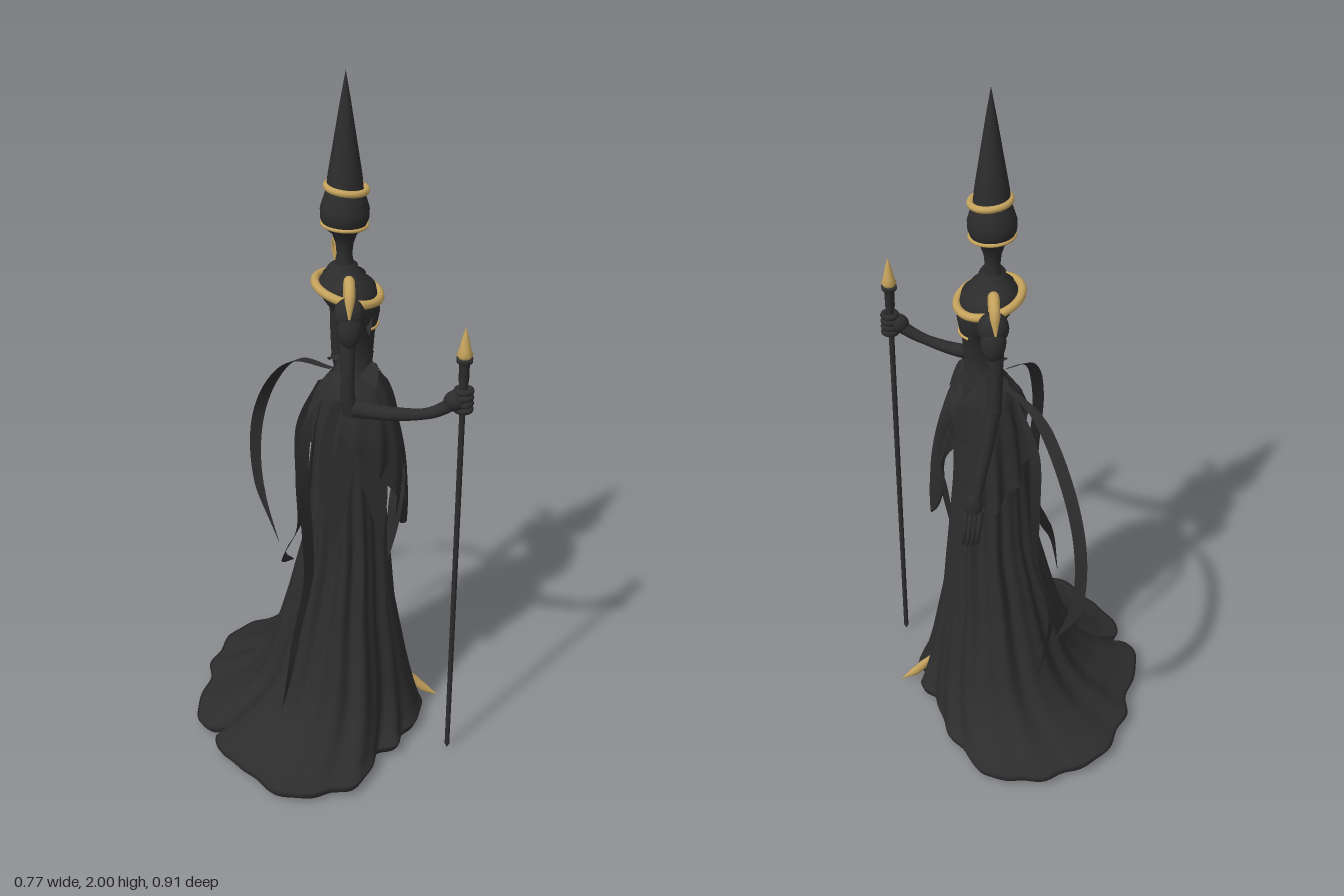
import * as THREE from 'three';

const V = (x, y, z) => new THREE.Vector3(x, y, z);
const lerp = THREE.MathUtils.lerp;
const TAU = Math.PI * 2;

export function createModel() {
  const model = new THREE.Group();
  const black = new THREE.MeshStandardMaterial({ color: 0x2c2c2c });
  black.name = 'black cloth';
  const cloth = new THREE.MeshStandardMaterial({ color: 0x2c2c2c, side: THREE.DoubleSide });
  cloth.name = 'thin black cloth';
  const gold = new THREE.MeshStandardMaterial({ color: 0xc4a25c });
  gold.name = 'gold';

  const add = (name, geo, mat) => {
    const m = new THREE.Mesh(geo, mat);
    m.name = name;
    model.add(m);
    return m;
  };

  // Skin over rows of points, running from top to bottom
  const loft = (rows, closed = true) => {
    const n = rows[0].length, index = [], pos = [];
    rows.forEach(r => r.forEach(p => pos.push(p.x, p.y, p.z)));
    for (let i = 0; i < rows.length - 1; i++) {
      for (let j = 0; j < (closed ? n : n - 1); j++) {
        const k = (j + 1) % n, a = i * n + j, c = i * n + k, b = a + n, d = c + n;
        index.push(a, c, b, b, c, d);
      }
    }
    const g = new THREE.BufferGeometry();
    g.setAttribute('position', new THREE.Float32BufferAttribute(pos, 3));
    g.setIndex(index);
    g.computeVertexNormals();
    return g;
  };

  // Tube through points whose radius varies along its length
  const limb = (pts, radii, seg = 28, sides = 12) => {
    const curve = new THREE.CatmullRomCurve3(pts.map(p => V(...p)));
    const g = new THREE.TubeGeometry(curve, seg, 1, sides);
    const pos = g.attributes.position, v = V(0, 0, 0);
    for (let i = 0; i < pos.count; i++) {
      const t = Math.floor(i / (sides + 1)) / seg, f = t * (radii.length - 1);
      const k = Math.min(Math.floor(f), radii.length - 2);
      const c = curve.getPointAt(t);
      v.fromBufferAttribute(pos, i).sub(c).multiplyScalar(lerp(radii[k], radii[k + 1], f - k)).add(c);
      pos.setXYZ(i, v.x, v.y, v.z);
    }
    return g;
  };

  const ball = (name, x, y, z, sx, sy, sz) => {
    const m = add(name, new THREE.SphereGeometry(1, 24, 16), black);
    m.position.set(x, y, z);
    m.scale.set(sx, sy, sz);
    return m;
  };

  // Gown: outline of the hem (x, z) with a slit in front, then levels of y, back x, front x, half width
  const hem = new THREE.CatmullRomCurve3([
    [.262, -.006], [.298, .03], [.303, .06], [.288, .11], [.265, .17], [.215, .21], [.19, .255], [.14, .28],
    [.115, .35], [.05, .42], [-.06, .45], [-.2, .41], [-.25, .32], [-.325, .23], [-.335, .165], [-.27, .132],
    [-.35, .125], [-.385, 0], [-.335, -.12], [-.33, -.2], [-.28, -.32], [-.17, -.42], [-.06, -.45], [.04, -.455],
    [.1, -.43], [.14, -.36], [.2, -.29], [.22, -.2], [.25, -.11], [.297, -.075], [.298, -.04]
  ].map(p => V((p[0] + .042) / .343, 0, p[1] / .455)), true);
  const levels = [
    [1.17, .045, .14, .042], [1.1, .0, .165, .075], [1, -.02, .17, .09], [.8, -.035, .175, .103],
    [.6, -.05, .19, .13], [.4, -.1, .21, .175], [.3, -.13, .23, .208], [.2, -.168, .25, .25], [.15, -.2, .262, .277],
    [.1, -.248, .275, .32], [.05, -.33, .29, .395], [.03, -.385, .30, .455], [.012, -.375, .292, .445]];
  const gownPoint = (u, y, grow = 0) => {
    let i = 0;
    while (i < levels.length - 2 && y < levels[i + 1][0]) i++;
    const A = levels[i], B = levels[i + 1], f = (A[0] - y) / (A[0] - B[0]);
    const [xb, xf, rz] = [1, 2, 3].map(k => lerp(A[k], B[k], f));
    const h = hem.getPointAt(u % 1), a = Math.atan2(h.z, h.x);
    const w = Math.pow(Math.max(0, 1 - y / .6), 1.5);
    const drop = Math.min(1, Math.max(0, (1.12 - y) / .5)) * (1 - .75 * w);
    const fold = 1 + drop * (.055 * Math.sin(11 * a + .6) + .035 * Math.sin(19 * a + 2));
    const x = lerp(Math.cos(a), h.x, w) * fold, z = lerp(Math.sin(a), h.z, w) * fold;
    return V((xb + xf) / 2 + x * ((xf - xb) / 2 + grow), y, z * (rz + grow));
  };
  const N = 200, rows = [];
  const ringAt = y => Array.from({ length: N }, (_, j) => gownPoint(j / N, y));
  for (let i = 0; i <= 50; i++) rows.push(ringAt(.03 + 1.14 * Math.pow(1 - i / 50, 1.5)));
  rows.push(ringAt(.012));
  add('gown', loft(rows), black);
  const base = ringAt(.012);
  add('gownBase', loft([base, base.map(() => V(-.03, .012, 0))]), black);

  // Draped overskirt with an uneven pointed edge, fullest at the front
  const drape = [];
  for (let i = 0; i <= 24; i++) {
    const t = i / 24, row = [];
    for (let j = 0; j < N; j++) {
      const u = j / N, a = u * TAU, front = Math.max(0, Math.cos(a - .3));
      const low = .88 - .14 * Math.cos(3 * a - 1) - .06 * Math.cos(5 * a) - .06 * front;
      const y = lerp(1.15, low, t);
      const grow = .006 + .014 * t + .045 * front * Math.sin(Math.PI * Math.min(1, t * .8))
        + .008 * t * Math.sin(14 * a);
      row.push(gownPoint(u, y, grow));
    }
    drape.push(row);
  }
  add('overskirt', loft(drape), cloth);

  // Bodice: y, centre x, radius x, radius z
  const bodice = [[1.475, .06, .028, .03], [1.45, .06, .045, .045], [1.43, .06, .062, .08], [1.41, .065, .08, .1],
    [1.38, .075, .076, .098], [1.34, .092, .066, .082], [1.31, .095, .058, .066], [1.27, .095, .05, .046],
    [1.21, .095, .046, .036], [1.17, .09, .05, .042], [1.13, .085, .065, .06]];
  add('bodice', loft(bodice.map(([y, cx, rx, rz]) => Array.from({ length: 40 }, (_, j) =>
    V(cx + rx * Math.cos(j / 40 * TAU), y, rz * Math.sin(j / 40 * TAU))))), black);

  // Leaf plate: a curved diamond sheet from root to tip
  const leaf = (name, root, tip, wide) => {
    const A = V(...root), B = V(...tip), side = V(...wide), r = [];
    for (let i = 0; i <= 10; i++) {
      const t = i / 10, c = A.clone().lerp(B, t);
      c.y += .02 * Math.sin(Math.PI * t);
      const w = Math.sin(Math.PI * Math.min(1, .12 + .88 * t));
      r.push([-1, 0, 1].map(k => c.clone().addScaledVector(side, k * w)));
    }
    add(name, loft(r, false), cloth);
  };
  for (const s of [1, -1]) {
    leaf('bustLeaf', [.13, 1.34, s * .02], [.12, 1.295, s * .088], [.012, .022, 0]);
    leaf('waistLeaf', [.11, 1.17, s * .01], [.14, 1.13, s * .085], [.025, .015, 0]);
    leaf('waistLeaf', [.07, 1.17, s * .02], [.03, 1.14, s * .09], [.03, .01, 0]);
    leaf('waistLeaf', [.13, 1.17, s * .01], [.185, 1.08, s * .05], [0, .01, .03]);
  }
  // Hanging drapes
  leaf('frontSash', [.172, 1.08, -.03], [.238, .74, .045], [.008, .01, .035]);
  leaf('frontSash', [.228, .86, .02], [.187, .55, .055], [.015, 0, .03]);
  leaf('leftSash', [.11, 1.06, .085], [.16, .67, .138], [.04, 0, -.01]);
  leaf('leftSash', [.04, 1.1, .085], [.02, .66, .135], [.05, 0, 0]);
  leaf('rightSash', [.1, 1.1, -.08], [.13, .8, -.135], [.04, 0, .01]);

  // Neck, head and tall pointed hat
  const lathe = (name, pts, x = .06, z = 0, mat = black) => {
    const m = add(name, new THREE.LatheGeometry(pts.map(p => new THREE.Vector2(...p)), 32), mat);
    m.position.set(x, 0, z);
  };
  lathe('head', [[.034, 1.44], [.026, 1.47], [.021, 1.5], [.024, 1.53], [.034, 1.56], [.056, 1.58], [.065, 1.605],
    [.066, 1.63], [.057, 1.66], [.047, 1.69]]);
  lathe('hat', [[.05, 1.68], [.046, 1.72], [.03, 1.82], [.014, 1.92], [0, 2]]);
  lathe('collar', [[.06, 1.425], [.058, 1.445], [.04, 1.45], [.036, 1.47], [.024, 1.475]]);

  // Gold loops: ellipse tilted down toward the front, optionally only the front part
  const loop = (name, y, cx, rx, rz, r, tilt, span = Math.PI) => {
    const pts = [];
    for (let i = 0; i <= 40; i++) {
      const a = lerp(-span, span, i / 40);
      pts.push(V(cx + rx * Math.cos(a), y - tilt * Math.cos(a), rz * Math.sin(a)));
    }
    add(name, new THREE.TubeGeometry(new THREE.CatmullRomCurve3(pts), 64, r, 10), gold);
  };
  loop('hatBand', 1.686, .064, .053, .053, .0095, .006);
  loop('browBand', 1.586, .06, .06, .06, .005, .003);
  loop('goldCollar', 1.4, .069, .088, .107, .012, .02);
  loop('bustTrim', 1.3, .095, .057, .062, .004, .004, 1);

  // Shoulders, with a gold horn on each
  for (const s of [1, -1]) {
    ball('shoulder', .06, 1.38, s * .13, .042, .046, .04);
    const sleeve = ball('sleeveCap', .06, 1.35, s * .148, .034, .055, .03);
    sleeve.rotation.x = -s * .2;
    add('shoulderHorn', limb([[.06, 1.4, s * .1], [.06, 1.455, s * .11], [.058, 1.48, s * .142],
      [.056, 1.46, s * .18], [.054, 1.395, s * .194]], [.013, .014, .015, .014, .003]), gold);
  }

  // Left arm bent forward, gripping the staff
  add('leftUpperArm', limb([[.06, 1.38, .13], [.056, 1.25, .145], [.057, 1.14, .155], [.065, 1.1, .155]],
    [.03, .02, .018, .022]), black);
  ball('leftElbow', .065, 1.115, .155, .026, .026, .022);
  add('leftForearm', limb([[.06, 1.115, .15], [.17, 1.112, .19], [.27, 1.13, .228], [.34, 1.17, .242]],
    [.026, .02, .015, .02]), black);
  ball('leftPalm', .335, 1.17, .24, .034, .03, .026);
  for (let i = 0; i < 4; i++) {
    const f = add('leftFinger', new THREE.TorusGeometry(.019, .009, 8, 16), black);
    f.position.set(.355, 1.145 + i * .018, .24);
    f.rotation.x = Math.PI / 2;
  }

  // Right arm hanging, with long fingers
  add('rightUpperArm', limb([[.06, 1.38, -.13], [.055, 1.25, -.137], [.06, 1.13, -.145]], [.03, .02, .02]), black);
  ball('rightElbow', .06, 1.13, -.145, .021, .024, .021);
  add('rightForearm', limb([[.06, 1.13, -.145], [.085, 1, -.165], [.11, .87, -.185]], [.02, .019, .013]), black);
  ball('rightPalm', .118, .835, -.187, .022, .042, .016);
  for (let i = 0; i < 4; i++) {
    const x = .1 + i * .013;
    add('rightFinger', limb([[x, .82, -.19], [x + .008, .76, -.21], [x + .012, .72, -.205],
      [x + .014, .685 + Math.abs(i - 1.5) * .012, -.185]], [.01, .009, .007, .001], 14, 8), black);
  }
  add('rightThumb', limb([[.13, .84, -.18], [.14, .79, -.165], [.14, .76, -.165]], [.009, .007, .001], 12, 8), black);

  // Staff with gold point
  lathe('staff', [[0, 0], [.007, .015], [.008, 1.1], [.009, 1.2], [.014, 1.23], [.014, 1.275], [.022, 1.285],
    [.022, 1.295], [0, 1.296]], .353, .24);
  lathe('staffPoint', [[.016, 1.295], [.022, 1.305], [.016, 1.32], [.01, 1.35], [0, 1.385]], .353, .24, gold);

  // Pointed shoe in the slit of the front hem
  const shoe = add('shoe', limb([[.258, .108, -.008], [.28, .078, -.008], [.312, .042, -.006], [.357, .008, -.006]],
    [.005, .014, .013, .001]), gold);
  shoe.scale.z = .8;

  // Ribbons trailing from the back of the waist, twisting from one width direction to another
  const ribbon = (pts, from, to, width) => {
    const curve = new THREE.CatmullRomCurve3(pts.map(p => V(...p))), r = [];
    for (let i = 0; i <= 60; i++) {
      const t = i / 60, c = curve.getPointAt(t), w = width * Math.min(1, .4 + 3 * t, .05 + 5 * (1 - t));
      const dir = V(...from).lerp(V(...to), t).normalize();
      r.push([-.5, 0, .5].map(k => c.clone().addScaledVector(dir, k * w)));
    }
    add('ribbon', loft(r, false), cloth);
  };
  ribbon([[.03, 1.14, -.04], [-.06, 1.11, -.16], [-.13, .98, -.27], [-.17, .8, -.335], [-.165, .6, -.34],
    [-.11, .42, -.28]], [.8, .1, -.6], [.6, .1, .9], .038);
  ribbon([[.0, 1.1, -.05], [-.05, .95, -.09], [-.055, .75, -.11], [-.055, .58, -.125], [-.1, .43, -.19],
    [-.06, .32, -.33]], [.6, .2, .2], [.3, .7, -.6], .036);
  ribbon([[.03, 1.14, .04], [-.045, 1.09, .14], [-.07, .95, .195], [-.058, .75, .19], [-.055, .58, .18],
    [-.09, .45, .235], [-.125, .31, .305], [-.14, .21, .28]], [.9, .1, -.4], [.5, .15, -.7], .04);

  return model;
}
